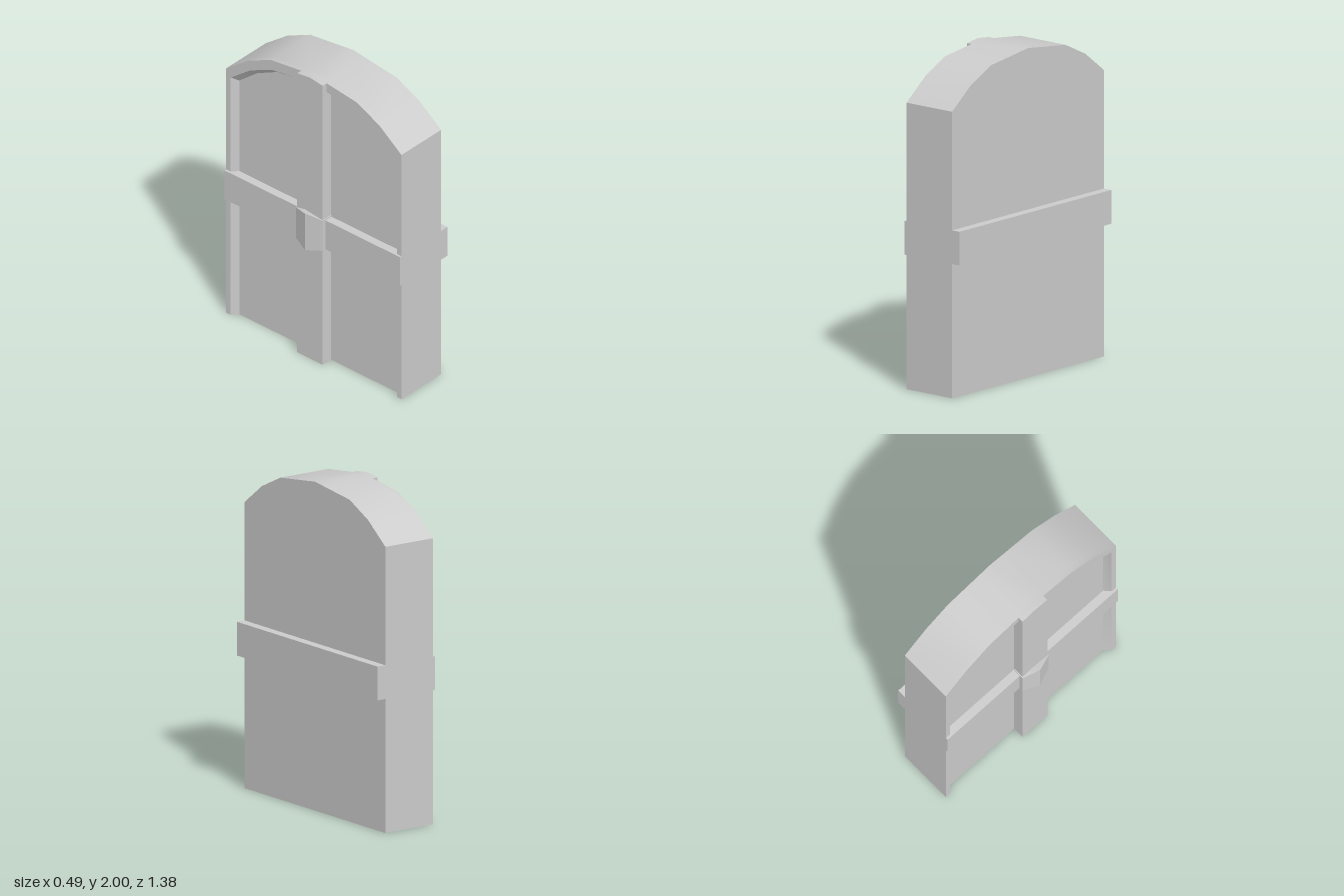
import * as THREE from 'three';
import { toCreasedNormals } from 'three/addons/utils/BufferGeometryUtils.js';

const PANEL_X = -0.127, RIM_X = -0.165, FACE_X = 0.188;

// Half arch outlines as [z, y], from the foot to the crown
const OUTER = [[0.69, 0], [0.69, 1.74], [0.52, 1.87], [0.34, 1.957], [0.1, 1.987], [0, 2]];
const INNER = [[0.655, 0], [0.655, 1.69], [0.5, 1.81], [0.33, 1.89], [0.1, 1.925], [0, 1.935]];
const DEEP = [[0.62, 0], [0.62, 1.665], [0.48, 1.78], [0.32, 1.86], [0.1, 1.9], [0, 1.91]];

// Mirrors a half outline into a full one, running from +z to -z
const mirror = (half) => [...half, ...half.slice(0, -1).reverse().map(([z, y]) => [-z, y])];

// Extrudes a [z, y] outline along x between two positions
function slab(points, x0, x1) {
  const shape = new THREE.Shape(points.map(([z, y]) => new THREE.Vector2(-z, y)));
  const g = new THREE.ExtrudeGeometry(shape, { depth: x1 - x0, bevelEnabled: false });
  return g.rotateY(Math.PI / 2).translate(x0, 0, 0);
}

// Arched rim with a sloping inner side, skinned between four rails
function rimGeometry() {
  const rails = [[OUTER, PANEL_X], [OUTER, RIM_X], [INNER, RIM_X], [DEEP, PANEL_X]]
    .map(([half, x]) => mirror(half).map(([z, y]) => [x, y, z]));
  const n = rails[0].length, pos = [];
  const quad = (a, b, c, d) => pos.push(...a, ...b, ...c, ...a, ...c, ...d);
  for (let j = 0; j < 3; j++) {
    for (let i = 0; i < n - 1; i++) {
      quad(rails[j][i], rails[j][i + 1], rails[j + 1][i + 1], rails[j + 1][i]);
    }
  }
  quad(...rails.map((r) => r[0]));
  quad(...rails.map((r) => r[n - 1]).reverse());
  const g = new THREE.BufferGeometry();
  g.setAttribute('position', new THREE.Float32BufferAttribute(pos, 3));
  return g;
}

// Pointed block whose tip flares up and down
function bossGeometry() {
  const plan = [[-0.127, 0.105], [-0.205, 0.105], [-0.245, 0], [-0.205, -0.105], [-0.127, -0.105]];
  const shape = new THREE.Shape(plan.map(([x, z]) => new THREE.Vector2(x, -z)));
  const g = new THREE.ExtrudeGeometry(shape, { depth: 1, bevelEnabled: false }).rotateX(-Math.PI / 2);
  const p = g.attributes.position;
  for (let i = 0; i < p.count; i++) {
    const tip = p.getX(i) < -0.23;
    p.setY(i, p.getY(i) > 0.5 ? (tip ? 1.055 : 1.03) : (tip ? 0.795 : 0.815));
  }
  return g;
}

export function createModel() {
  const group = new THREE.Group();
  const material = new THREE.MeshStandardMaterial({ color: 0xcccccc });
  const add = (name, geometry) => {
    const mesh = new THREE.Mesh(toCreasedNormals(geometry, 0.62), material);
    mesh.name = name;
    group.add(mesh);
  };

  // Arched slab, flat on one face and carrying the rim on the other
  add('body', slab(mirror(OUTER), PANEL_X, FACE_X));
  add('rim', rimGeometry());

  // Upright bar between the two recessed panels
  add('centerBar', slab(mirror([[0.1, 0], [0.1, 1.987], [0, 2]]), -0.2, PANEL_X));

  // Belt around the middle, with a pointed boss over the bar
  add('belt', new THREE.BoxGeometry(0.425, 0.205, 1.38).translate(0.0325, 0.9175, 0));
  add('boss', bossGeometry());

  return group;
}
